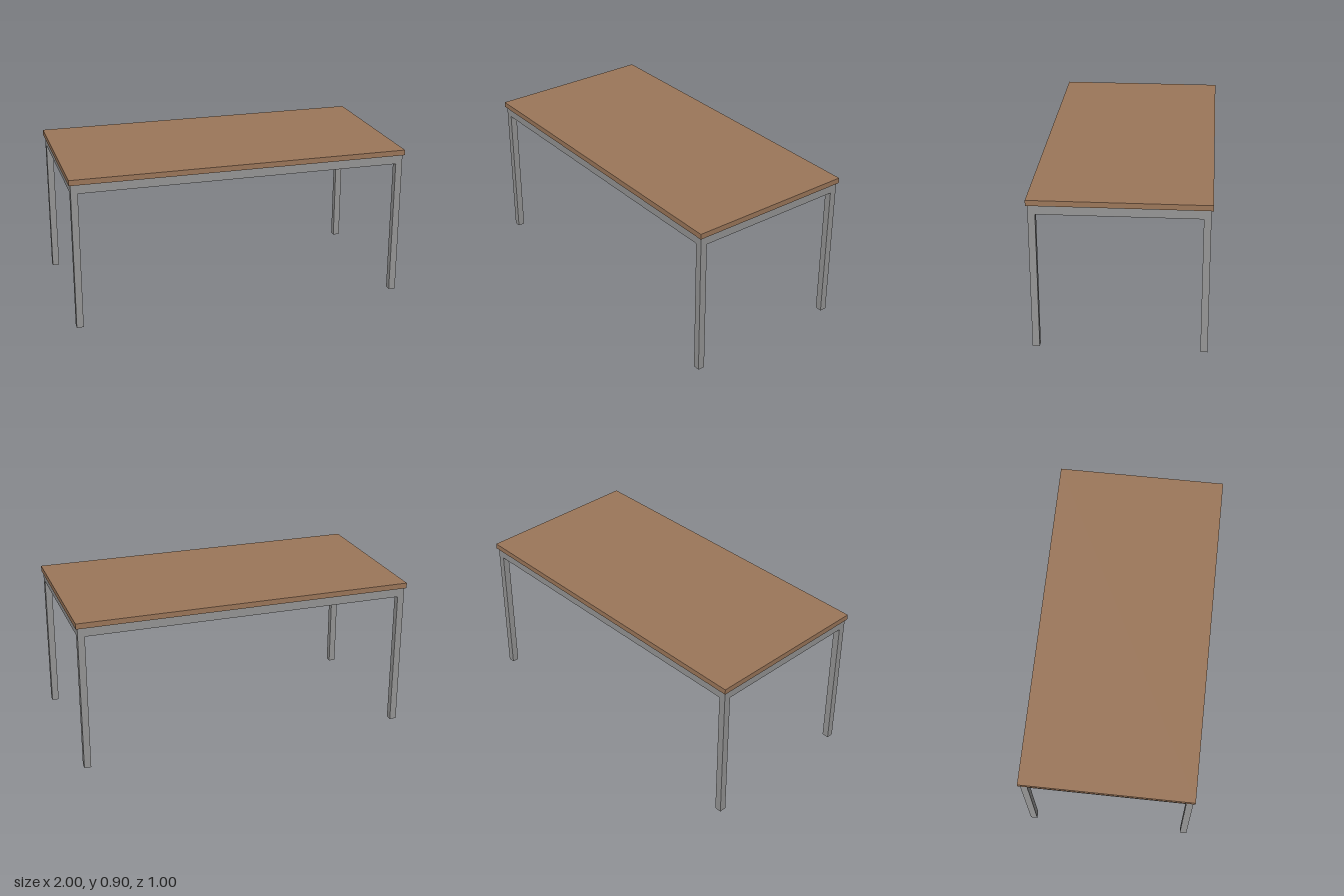
import * as THREE from 'three';

export function createModel() {
  const table = new THREE.Group();
  table.name = 'table';

  const wood = new THREE.MeshStandardMaterial({ color: 0x9c775a });
  wood.name = 'brown wood';
  const steel = new THREE.MeshStandardMaterial({ color: 0x969696 });
  steel.name = 'grey steel';

  const addBox = (name, material, size, position) => {
    const mesh = new THREE.Mesh(new THREE.BoxGeometry(...size), material);
    mesh.name = name;
    mesh.position.set(...position);
    table.add(mesh);
  };

  const height = 0.9, topThickness = 0.032;
  const tube = 0.04, railHeight = 0.053;
  const legX = 0.97, legZ = 0.47; // leg centre lines
  const frameTop = height - topThickness;
  const railY = frameTop - railHeight / 2;

  // Tabletop slab
  addBox('tabletop', wood, [2, topThickness, 1], [0, height - topThickness / 2, 0]);

  // Square tube legs
  for (const [sideName, sx] of [['Left', 1], ['Right', -1]]) {
    for (const [endName, sz] of [['front', 1], ['back', -1]]) {
      addBox(endName + sideName + 'Leg', steel, [tube, frameTop, tube],
        [sx * legX, frameTop / 2, sz * legZ]);
    }
  }

  // Rails between the legs, flush with their outer faces
  for (const s of [1, -1]) {
    addBox(s > 0 ? 'frontRail' : 'backRail', steel,
      [2 * legX - tube, railHeight, tube], [0, railY, s * legZ]);
    addBox(s > 0 ? 'leftRail' : 'rightRail', steel,
      [tube, railHeight, 2 * legZ - tube], [s * legX, railY, 0]);
  }

  return table;
}
